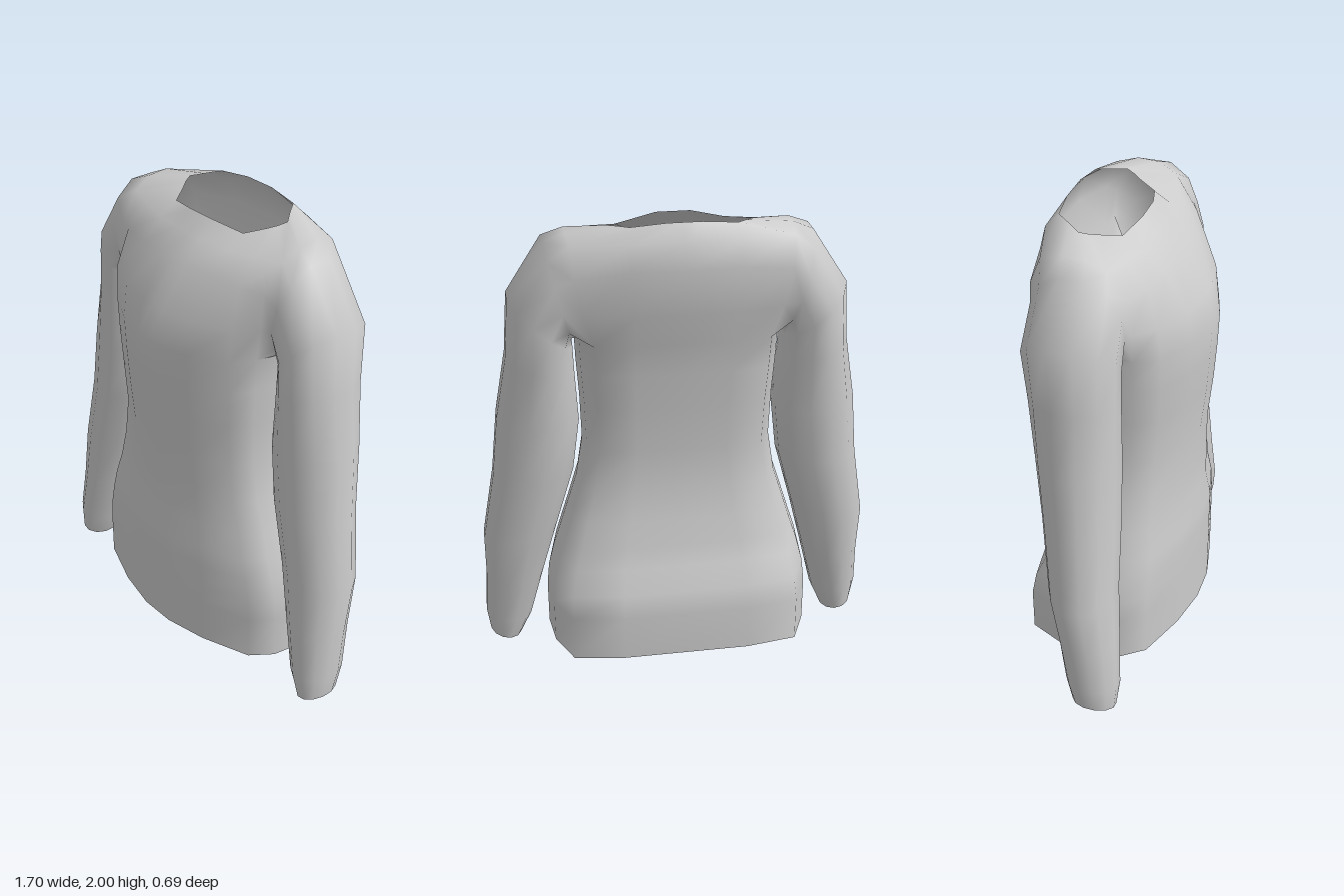
import * as THREE from 'three';

// Half cross-section of the torso, front centre to back centre: fractions of width and depth
const SECTION = [[0, 1], [.14, 1], [.47, .88], [.84, .64], [.96, .36], [1, 0], [.97, -.45], [.85, -.9], [.47, -1], [0, -1]];

// Torso levels from hem to armpit: y, half width, front z, back z
const LEVELS = [
  [.08, .575, .33, -.34], [.28, .575, .33, -.34], [.38, .565, .33, -.32], [.48, .54, .33, -.27],
  [.57, .51, .33, -.245], [.68, .475, .31, -.22], [.82, .43, .31, -.19], [1, .4, .31, -.19],
  [1.2, .405, .33, -.21], [1.36, .415, .34, -.23], [1.5, .42, .345, -.25],
];

// Chest, shoulder and neckline rows as half loops (x, y, z); null marks the armhole
const YOKE = [
  [[0, 1.64, .31], [.06, 1.64, .31], [.2, 1.64, .285], [.36, 1.64, .21], [.43, 1.64, .13], null, null, [.4, 1.64, -.25], [.2, 1.64, -.29], [0, 1.64, -.295]],
  [[0, 1.81, .2], [.07, 1.81, .2], [.2, 1.81, .19], [.34, 1.8, .16], [.43, 1.79, .12], null, null, [.43, 1.8, -.27], [.22, 1.83, -.31], [0, 1.83, -.32]],
  [[0, 1.89, .12], [.07, 1.89, .12], [.2, 1.88, .1], [.33, 1.9, .08], [.44, 1.9, .04], [.45, 1.94, -.04], [.45, 1.945, -.13], [.44, 1.92, -.22], [.22, 1.93, -.285], [0, 1.935, -.29]],
  [[0, 1.95, .055], [.07, 1.95, .055], [.2, 1.93, .02], [.25, 1.945, -.055], [.275, 1.955, -.09], [.29, 1.965, -.125], [.25, 1.975, -.175], [.21, 1.985, -.23], [.07, 2, -.245], [0, 2, -.245]],
];

// Sleeve rings: outer x, y, inner x, y, front z, back z
const SLEEVE = [
  [.54, 1.91, .435, 1.49, .125, -.25], [.69, 1.68, .43, 1.46, .13, -.26], [.71, 1.42, .425, 1.36, .13, -.235],
  [.76, 1.15, .41, 1.12, .135, -.205], [.79, .87, .44, .88, .14, -.175], [.845, .55, .52, .6, .15, -.135],
  [.845, .33, .585, .36, .165, -.09], [.855, .14, .65, .11, .18, -.05], [.84, .03, .7, 0, .17, -.02],
];

const COLS = 18, RING = 12;

export function createModel() {
  const positions = [];
  const add = (x, y, z) => positions.push(x, y, z) / 3 - 1;
  const quad = (list, a, b, c, d) => list.push(a, b, c, a, c, d);

  // Torso rows, mirrored into full loops
  const lower = LEVELS.map(([y, w, zf, zb]) =>
    SECTION.map(([u, v]) => [u * w, y, v > 0 ? v * zf : -v * zb]));
  const rows = [...lower, ...YOKE].map((half) => {
    const full = [...half, ...half.slice(1, -1).reverse().map((p) => p && [-p[0], p[1], p[2]])];
    return full.map((p) => (p ? add(...p) : null));
  });
  const armpit = LEVELS.length - 1, shoulder = armpit + 3;

  // Torso faces, leaving both armholes open
  const torso = [];
  for (let i = 0; i < rows.length - 1; i++) {
    for (let j = 0; j < COLS; j++) {
      const side = j < 9 ? j : 17 - j;
      if (i >= armpit && i < shoulder && side >= 4 && side <= 6) continue;
      const k = (j + 1) % COLS;
      quad(torso, rows[i][j], rows[i][k], rows[i + 1][k], rows[i + 1][j]);
    }
  }

  // Each sleeve grows out of the rim of its armhole
  function sleeve(s) {
    const at = (row, col) => rows[row][s > 0 ? col : COLS - col];
    const rim = [];
    for (let c = 4; c <= 7; c++) rim.push(at(shoulder, c));
    for (let r = shoulder - 1; r > armpit; r--) rim.push(at(r, 7));
    for (let c = 7; c >= 4; c--) rim.push(at(armpit, c));
    for (let r = armpit + 1; r < shoulder; r++) rim.push(at(r, 4));

    const rings = [rim];
    for (const [ox, oy, ix, iy, zf, zb] of SLEEVE) {
      rings.push(rim.map((_, k) => {
        const a = (k - 1.5) * Math.PI * 2 / RING, c = Math.cos(a);
        return add(
          s * ((ox + ix) / 2 + c * (ox - ix) / 2),
          (oy + iy) / 2 + c * (oy - iy) / 2,
          (zf + zb) / 2 - Math.sin(a) * (zf - zb) / 2);
      }));
    }
    const index = [];
    for (let i = 0; i < rings.length - 1; i++) {
      for (let k = 0; k < RING; k++) {
        const n = (k + 1) % RING, p = rings[i], q = rings[i + 1];
        if (s > 0) quad(index, p[n], p[k], q[k], q[n]);
        else quad(index, p[k], p[n], q[n], q[k]);
      }
    }
    return index;
  }
  const parts = { torso, leftSleeve: sleeve(1), rightSleeve: sleeve(-1) };

  // Normals are computed over the whole garment so the shoulder seams stay smooth
  const whole = new THREE.BufferGeometry();
  whole.setAttribute('position', new THREE.Float32BufferAttribute(positions, 3));
  whole.setIndex(Object.values(parts).flat());
  whole.computeVertexNormals();

  const material = new THREE.MeshStandardMaterial({ color: 0xcccccc, side: THREE.DoubleSide });
  const group = new THREE.Group();
  group.name = 'sweater';
  for (const [name, index] of Object.entries(parts)) {
    const geometry = new THREE.BufferGeometry();
    geometry.setAttribute('position', whole.attributes.position);
    geometry.setAttribute('normal', whole.attributes.normal);
    geometry.setIndex(index);
    const mesh = new THREE.Mesh(geometry, material);
    mesh.name = name;
    group.add(mesh);
  }
  return group;
}
